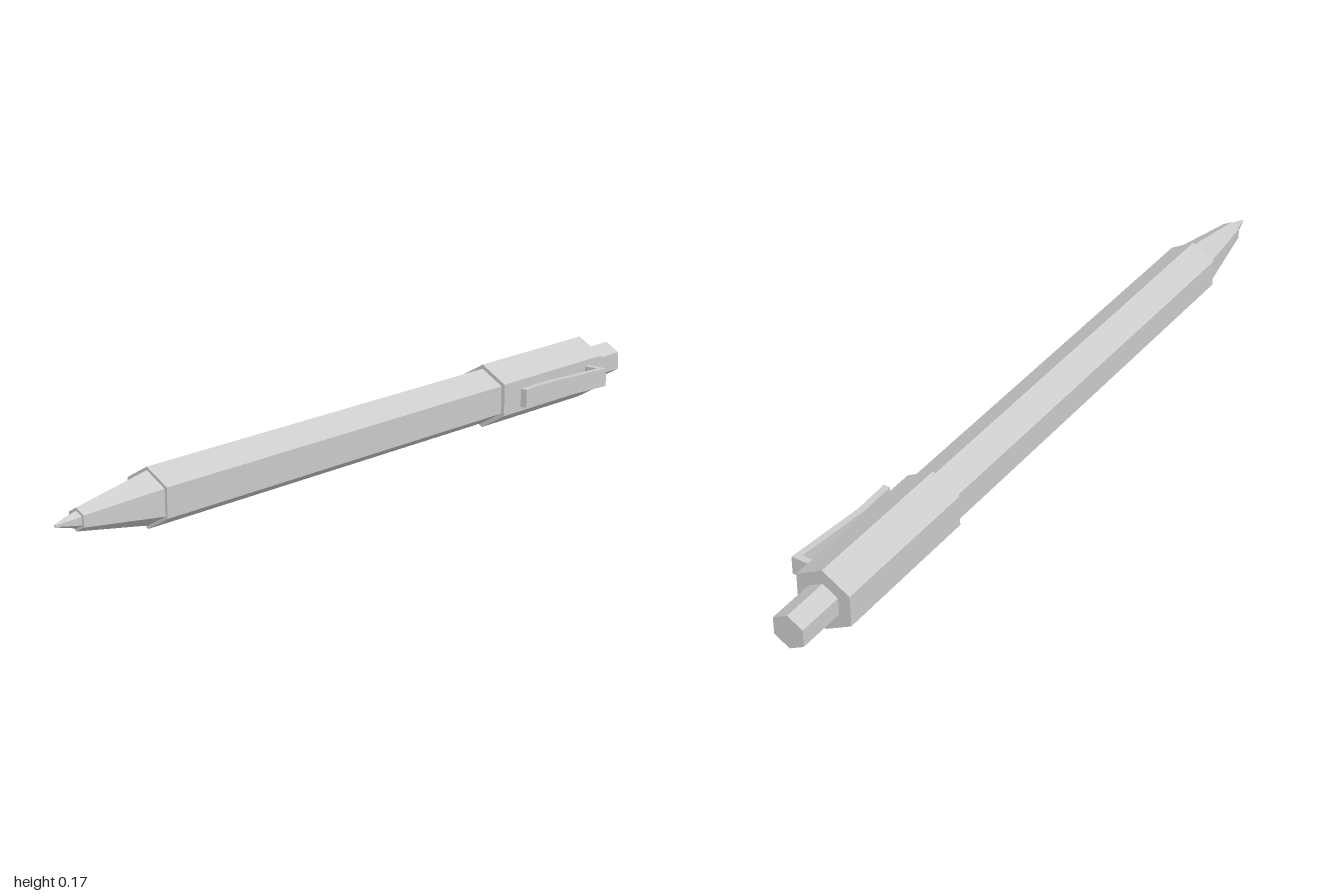
import * as THREE from 'three';

const AXIS_X = -0.0286, AXIS_Y = 0.0835;

export function createModel() {
  const pen = new THREE.Group();
  pen.name = 'pen';
  const material = new THREE.MeshStandardMaterial({ color: 0xcccccc, flatShading: true });

  // Six-sided section along z, with corners pointing up and down
  function hexSection(name, zBack, zFront, rBack, rFront = rBack) {
    const geometry = new THREE.CylinderGeometry(rFront, rBack, zFront - zBack, 6);
    geometry.rotateX(Math.PI / 2);
    const mesh = new THREE.Mesh(geometry, material);
    mesh.name = name;
    mesh.position.set(AXIS_X, AXIS_Y, (zBack + zFront) / 2);
    pen.add(mesh);
  }

  hexSection('pushButton', -1, -0.875, 0.046);
  hexSection('cap', -0.875, -0.457, 0.083);
  hexSection('barrel', -0.457, 0.728, 0.072);
  hexSection('noseCone', 0.728, 0.938, 0.064, 0.027);
  hexSection('writingTip', 0.938, 1, 0.02, 0.003);

  // Pocket clip: bent strip drawn as [x, z], extruded upwards
  const outline = [
    [0.038, -0.82], [0.1, -0.82], [0.078, -0.6], [0.081, -0.5],
    [0.063, -0.5], [0.061, -0.6], [0.082, -0.803], [0.038, -0.803],
  ];
  const shape = new THREE.Shape(outline.map(([x, z]) => new THREE.Vector2(x, -z)));
  const clipGeometry = new THREE.ExtrudeGeometry(shape, { depth: 0.048, bevelEnabled: false });
  clipGeometry.rotateX(-Math.PI / 2);
  const clip = new THREE.Mesh(clipGeometry, material);
  clip.name = 'pocketClip';
  clip.position.y = 0.0615;
  pen.add(clip);

  return pen;
}
